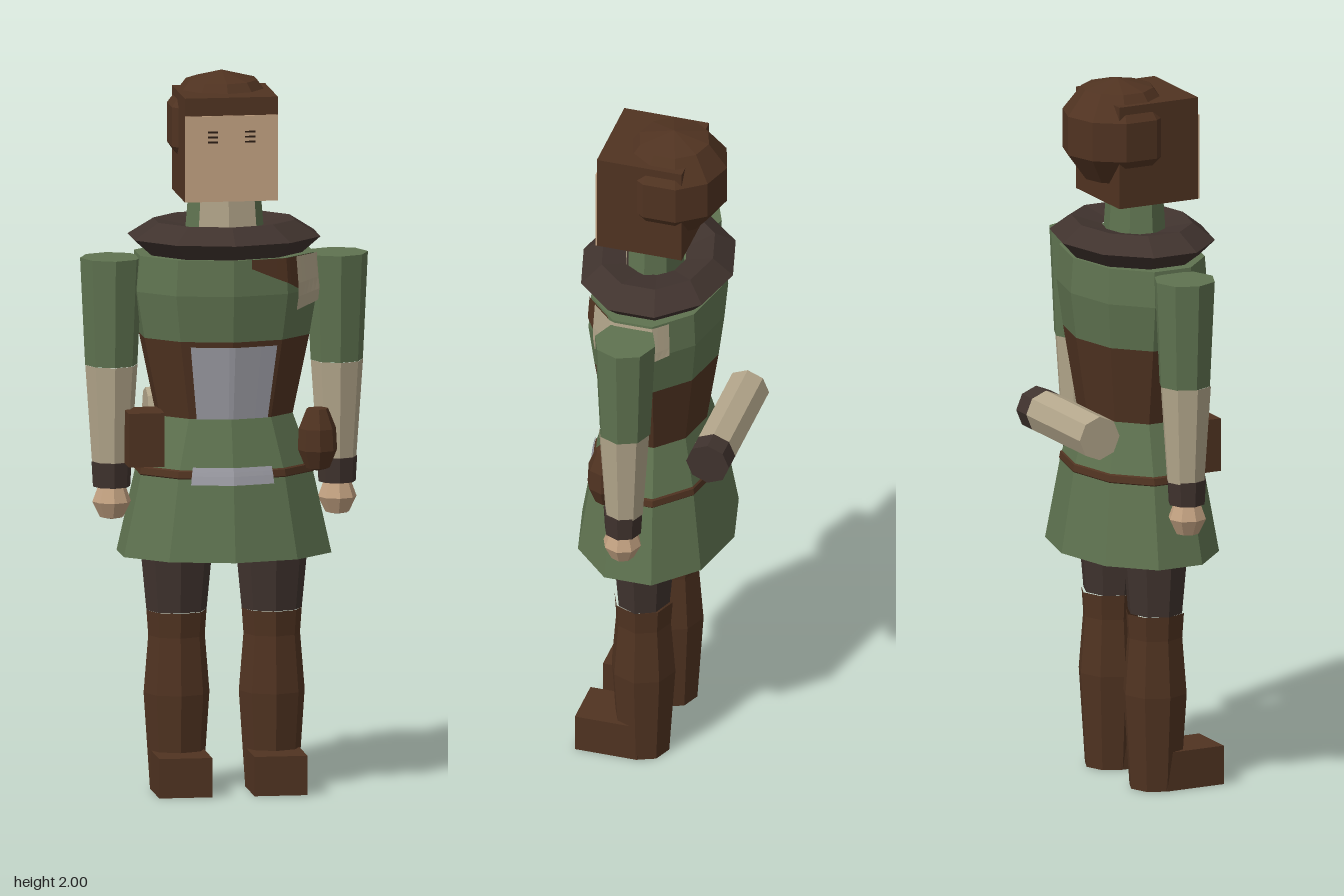
import * as THREE from 'three';

const mat = (name, color) => {
  const m = new THREE.MeshStandardMaterial({ color, flatShading: true });
  m.name = name;
  return m;
};

// Body profile as [radius, height]; cross-sections are ten-sided and flattened in z
const BODY = [[0.305, 0.66], [0.25, 0.9], [0.195, 1.05], [0.242, 1.27], [0.265, 1.4], [0.255, 1.5]];
const DEPTH = 0.72;
const CENTER_Z = 0.022;

function bodyRadius(y) {
  for (let i = 1; i < BODY.length; i++) {
    const [r0, y0] = BODY[i - 1], [r1, y1] = BODY[i];
    if (y <= y1) return r0 + (r1 - r0) * (y - y0) / (y1 - y0);
  }
  return BODY[BODY.length - 1][0];
}

export function createModel() {
  const model = new THREE.Group();
  const green = mat('tunicGreen', 0x5f7350);
  const brown = mat('leatherBrown', 0x503321);
  const dark = mat('darkBrown', 0x40332e);
  const beige = mat('linenBeige', 0xb3a68b);
  const skin = mat('skin', 0xc2a181);
  const grey = mat('steelGrey', 0xa0a0a8);
  const black = mat('eyeDark', 0x2a1c14);

  const add = (name, geo, material, x = 0, y = 0, z = 0) => {
    const m = new THREE.Mesh(geo, material);
    m.name = name;
    m.position.set(x, y, z);
    model.add(m);
    return m;
  };
  const box = (name, material, x0, x1, y0, y1, z0, z1) =>
    add(name, new THREE.BoxGeometry(x1 - x0, y1 - y0, z1 - z0), material,
      (x0 + x1) / 2, (y0 + y1) / 2, (z0 + z1) / 2);
  const lathe = (name, material, pts, segs, depth, x = 0, z = CENTER_Z, start = 0, sweep = Math.PI * 2) => {
    const geo = new THREE.LatheGeometry(pts.map(p => new THREE.Vector2(...p)), segs, start, sweep);
    geo.scale(1, 1, depth);
    return add(name, geo, material, x, 0, z);
  };
  // Thin panel that follows the facets of the body between two angles
  const panel = (name, material, deg0, deg1, low, high, offset = 0.006) => {
    const geo = new THREE.PlaneGeometry(1, 1, 16, 4);
    const p = geo.attributes.position;
    for (let i = 0; i < p.count; i++) {
      const u = p.getX(i) + 0.5, v = p.getY(i) + 0.5;
      const deg = deg0 + (deg1 - deg0) * u;
      const y = low(u) + (high(u) - low(u)) * v;
      const local = (((deg % 36) + 36) % 36) - 18;
      const facet = Math.cos(Math.PI / 10) / Math.cos(local * Math.PI / 180);
      const r = bodyRadius(y) * facet + offset;
      const a = deg * Math.PI / 180;
      p.setXYZ(i, Math.sin(a) * r, y, Math.cos(a) * r * DEPTH);
    }
    geo.computeVertexNormals();
    return add(name, geo, material, 0, 0, CENTER_Z);
  };

  // Tunic and leather waist
  lathe('tunicSkirt', green, [[0, 0.66], ...BODY.slice(0, 3)], 10, DEPTH);
  lathe('waistWrap', brown, BODY.slice(2, 4), 10, DEPTH);
  lathe('tunicChest', green, [...BODY.slice(3), [0, 1.5]], 10, DEPTH);
  lathe('belt', brown, [[0.251, 0.885], [0.256, 0.89], [0.252, 0.908], [0.245, 0.912]], 10, DEPTH);
  panel('chestPlate', grey, -29, 32, () => 1.05, () => 1.255);
  panel('beltBuckle', grey, -27, 27, () => 0.872, () => 0.92, 0.009);
  panel('shoulderStrap', brown, 12, 66, u => 1.475 - 0.1 * u, () => 1.5);
  panel('shoulderCloth', beige, 46, 122, u => 1.35 + 0.05 * u, () => 1.5, 0.01);

  // Collar and neck
  lathe('collar', dark, [[0.1, 1.49], [0.215, 1.495], [0.273, 1.545], [0.2, 1.59], [0.1, 1.57]], 10, 0.79);
  lathe('neck', green, [[0.115, 1.5], [0.1, 1.68]], 8, 0.72, 0, 0.03);
  lathe('throat', beige, [[0.12, 1.5], [0.105, 1.68]], 2, 0.75, 0, 0.03, -Math.PI / 4, Math.PI / 2);

  // Head, face and rounded hair
  box('head', brown, -0.13, 0.13, 1.66, 1.95, -0.085, 0.16);
  box('face', skin, -0.13, 0.13, 1.66, 1.9, 0.16, 0.164);
  lathe('hair', brown, [[0, 1.695], [0.097, 1.72], [0.153, 1.795], [0.153, 1.905], [0.1, 1.974], [0, 2]],
    10, 1, 0, -0.024);

  // Roll on the lower back with a dark end
  const roll = (name, material, x0, x1) => {
    const geo = new THREE.CylinderGeometry(0.062, 0.062, x1 - x0, 8).rotateZ(Math.PI / 2);
    add(name, geo, material, (x0 + x1) / 2, 1.03, -0.178);
  };
  roll('bedroll', beige, -0.19, 0.13);
  roll('bedrollEnd', dark, 0.13, 0.19);

  // Belt pouches
  box('boxPouch', brown, -0.285, -0.185, 0.92, 1.07, 0.03, 0.15);
  lathe('roundPouch', brown, [[0, 0.89], [0.035, 0.9], [0.055, 0.95], [0.052, 1.01], [0.03, 1.065], [0, 1.07]],
    8, 1, 0.25, 0.095);

  for (const s of [1, -1]) {
    const side = s > 0 ? 'left' : 'right';

    // Eyes
    for (let i = 0; i < 3; i++)
      box(side + 'Eye', black, s * 0.052 - 0.014, s * 0.052 + 0.014,
        1.824 + i * 0.014, 1.829 + i * 0.014, 0.163, 0.166);

    // Arm, cuff and hand
    lathe(side + 'UpperSleeve', green, [[0.073, 1.19], [0.087, 1.49], [0, 1.49]], 8, 1, s * 0.315);
    lathe(side + 'LowerSleeve', beige, [[0.054, 0.915], [0.073, 1.19]], 8, 1, s * 0.315, 0.025);
    lathe(side + 'Cuff', dark, [[0, 0.85], [0.052, 0.85], [0.056, 0.92], [0, 0.92]], 8, 1, s * 0.315, 0.028);
    lathe(side + 'Hand', skin, [[0, 0.758], [0.033, 0.765], [0.054, 0.808], [0.035, 0.86]], 8, 1, s * 0.315, 0.03);

    // Leg, tall boot and toe
    lathe(side + 'Thigh', dark, [[0.084, 0.5], [0.105, 0.72]], 8, 0.9, s * 0.133, 0.024);
    lathe(side + 'Boot', brown, [[0, 0], [0.074, 0], [0.092, 0.27], [0.079, 0.43], [0.084, 0.5]],
      8, 1, s * 0.133, 0.024);
    box(side + 'Toe', brown, s * 0.133 - 0.074, s * 0.133 + 0.074, 0, 0.11, 0.02, 0.2);
  }
  return model;
}
